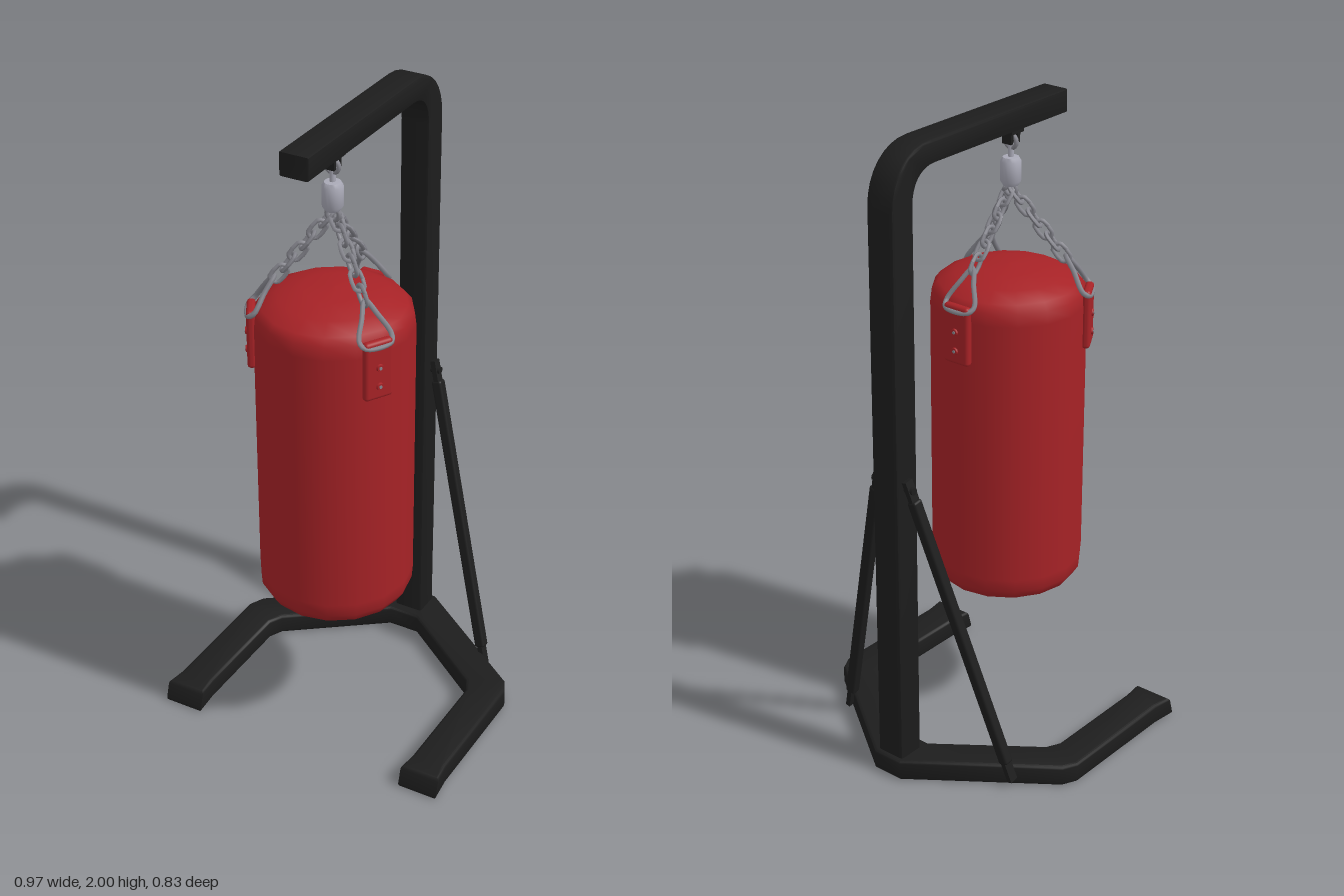
import * as THREE from 'three';
import { toCreasedNormals } from 'three/addons/utils/BufferGeometryUtils.js';
import { RoundedBoxGeometry } from 'three/addons/geometries/RoundedBoxGeometry.js';

const mat = (name, color) => Object.assign(new THREE.MeshStandardMaterial({ color }), { name });
const V = (x, y, z) => new THREE.Vector3(x, y, z);
const BAG_Z = 0.16, BAG_R = 0.235;

export function createModel() {
  const black = mat('black steel', 0x1d1d1d);
  const red = mat('red leather', 0xa62226);
  const steel = mat('chain steel', 0x85858d);
  const bright = mat('bright steel', 0xa9a9b6);
  const model = new THREE.Group();
  model.name = 'punchingBagStand';

  const add = (parent, name, geo, material, x = 0, y = 0, z = 0) => {
    const m = new THREE.Mesh(geo, material);
    m.name = name;
    m.position.set(x, y, z);
    parent.add(m);
    return m;
  };

  // Base: U-shaped floor frame, half outline mirrored
  const outer = [[0.05, -0.42], [0.452, -0.127], [0.475, -0.08], [0.475, 0.33], [0.484, 0.415]];
  const inner = [[0.356, 0.415], [0.363, 0.33], [0.363, -0.025], [0.342, -0.068], [0.05, -0.285]];
  const half = [...outer, ...inner];
  const outline = [...half, ...half.slice().reverse().map(([x, z]) => [-x, z])];
  const baseShape = new THREE.Shape(outline.map(([x, z]) => new THREE.Vector2(x, -z)));
  const bevel = 0.01;
  const baseGeo = new THREE.ExtrudeGeometry(baseShape, {
    depth: 0.068 - 2 * bevel, bevelThickness: bevel, bevelSize: bevel, bevelOffset: -bevel, bevelSegments: 3,
  });
  baseGeo.rotateX(-Math.PI / 2).translate(0, bevel, 0);
  // Slant the front ends of the feet
  const p = baseGeo.attributes.position;
  for (let i = 0; i < p.count; i++) {
    if (p.getZ(i) > 0.37) p.setZ(i, p.getZ(i) - 0.3 * p.getY(i));
  }
  add(model, 'baseFrame', toCreasedNormals(baseGeo, 0.7), black);

  // Upright and overhead arm: one bent square bar
  const bar = new THREE.Shape();
  bar.moveTo(-0.405, 0.03);
  bar.lineTo(-0.318, 0.03);
  bar.lineTo(-0.318, 1.83);
  bar.bezierCurveTo(-0.318, 1.89, -0.285, 1.93, -0.225, 1.93);
  bar.lineTo(0.37, 1.93);
  bar.lineTo(0.37, 2);
  bar.lineTo(-0.24, 2);
  bar.bezierCurveTo(-0.335, 2, -0.405, 1.93, -0.405, 1.83);
  bar.closePath();
  const barGeo = new THREE.ExtrudeGeometry(bar, {
    depth: 0.08, bevelThickness: 0.007, bevelSize: 0.007, bevelOffset: -0.007, bevelSegments: 2, curveSegments: 8,
  });
  barGeo.translate(0, 0, -0.04).rotateY(-Math.PI / 2);
  add(model, 'uprightAndArm', toCreasedNormals(barGeo, 0.6), black);

  // Side braces with flattened end tabs and bolts
  for (const s of [-1, 1]) {
    const brace = new THREE.Group();
    brace.name = s > 0 ? 'leftBrace' : 'rightBrace';
    const low = V(s * 0.33, 0.035, -0.225), high = V(s * 0.058, 1.0, -0.368);
    const len = low.distanceTo(high);
    brace.position.copy(low).lerp(high, 0.5);
    brace.quaternion.setFromUnitVectors(V(0, 1, 0), high.clone().sub(low).normalize());
    add(brace, 'tube', new RoundedBoxGeometry(0.034, len - 0.1, 0.034, 2, 0.008), black);
    for (const e of [-1, 1]) {
      add(brace, 'endTab', new THREE.BoxGeometry(0.016, 0.08, 0.03), black, 0, e * (len / 2 - 0.025), 0);
    }
    model.add(brace);
    const bolt = add(model, 'braceBolt', new THREE.CylinderGeometry(0.012, 0.012, 0.04, 10), black, s * 0.058, 0.985, -0.366);
    bolt.rotation.z = Math.PI / 2;
  }

  // Bag
  const profile = [[0, 0.46], [0.11, 0.463], [0.175, 0.473], [0.213, 0.49], [0.232, 0.52], [BAG_R, 0.56],
    [BAG_R, 1.40], [0.23, 1.44], [0.212, 1.462], [0.165, 1.487], [0.09, 1.506], [0, 1.51]]
    .map(([r, y]) => new THREE.Vector2(r, y));
  add(model, 'bag', new THREE.LatheGeometry(profile, 16), red, 0, 0, BAG_Z);

  // Hanger: bracket, eye, stem and swivel
  const hanger = new THREE.Group();
  hanger.name = 'hanger';
  hanger.position.z = BAG_Z + 0.004;
  add(hanger, 'bracketPlate', new THREE.BoxGeometry(0.05, 0.02, 0.055), black, 0, 1.922, 0);
  for (const s of [-1, 1]) {
    add(hanger, 'bracketCheek', new THREE.BoxGeometry(0.034, 0.04, 0.01), black, 0, 1.9, s * 0.016);
  }
  add(hanger, 'eye', new THREE.TorusGeometry(0.02, 0.007, 8, 16), steel, 0, 1.885, 0);
  add(hanger, 'stem', new THREE.CylinderGeometry(0.009, 0.009, 0.05, 10), bright, 0, 1.85, 0);
  const swivel = [[0, 1.752], [0.022, 1.752], [0.031, 1.766], [0.031, 1.826], [0.024, 1.838], [0, 1.84]]
    .map(([r, y]) => new THREE.Vector2(r, y));
  add(hanger, 'swivel', toCreasedNormals(new THREE.LatheGeometry(swivel, 16), 0.7), bright);
  add(hanger, 'lowerRing', new THREE.TorusGeometry(0.02, 0.007, 8, 14), steel, 0, 1.74, 0);
  model.add(hanger);

  // Oval chain link, long axis along y
  const link = new THREE.TorusGeometry(0.018, 0.0065, 6, 14);
  const lp = link.attributes.position;
  for (let i = 0; i < lp.count; i++) lp.setY(i, lp.getY(i) + Math.sign(Math.round(lp.getY(i) * 1e5)) * 0.013);
  link.computeVertexNormals();

  // Triangular ring that joins a chain to its strap
  const ringCurve = new THREE.CatmullRomCurve3(
    [V(0, 1.545, 0.168), V(0.026, 1.505, 0.196), V(0.052, 1.452, 0.226), V(0.04, 1.437, 0.244),
      V(-0.04, 1.437, 0.244), V(-0.052, 1.452, 0.226), V(-0.026, 1.505, 0.196)], true);
  const ringGeo = new THREE.TubeGeometry(ringCurve, 36, 0.008, 6, true);

  // Three sets of strap and chain around the bag, local +z pointing outwards
  for (const angle of [Math.PI / 3, -Math.PI / 3, Math.PI]) {
    const set = new THREE.Group();
    set.name = 'strapAndChain';
    set.position.z = BAG_Z;
    set.rotation.y = angle;
    add(set, 'strap', new RoundedBoxGeometry(0.092, 0.185, 0.026, 3, 0.011), red, 0, 1.36, BAG_R + 0.002);
    for (const y of [1.31, 1.37]) {
      const rivet = add(set, 'rivet', new THREE.CylinderGeometry(0.01, 0.012, 0.006, 12), red, 0, y, BAG_R + 0.017);
      rivet.rotation.x = Math.PI / 2;
      const slot = add(set, 'rivetCap', new THREE.CylinderGeometry(0.005, 0.005, 0.004, 8), steel, 0, y, BAG_R + 0.02);
      slot.rotation.x = Math.PI / 2;
    }
    add(set, 'strapRing', ringGeo, steel);
    const start = V(0, 1.725, 0.018), end = V(0, 1.553, 0.155);
    const tilt = Math.atan2(end.z - start.z, end.y - start.y);
    const count = 6;
    for (let i = 0; i < count; i++) {
      const c = start.clone().lerp(end, i / (count - 1));
      const m = add(set, 'chainLink', link, steel, c.x, c.y, c.z);
      m.rotation.set(tilt, i % 2 ? Math.PI / 2 : 0, 0);
    }
    model.add(set);
  }
  return model;
}
